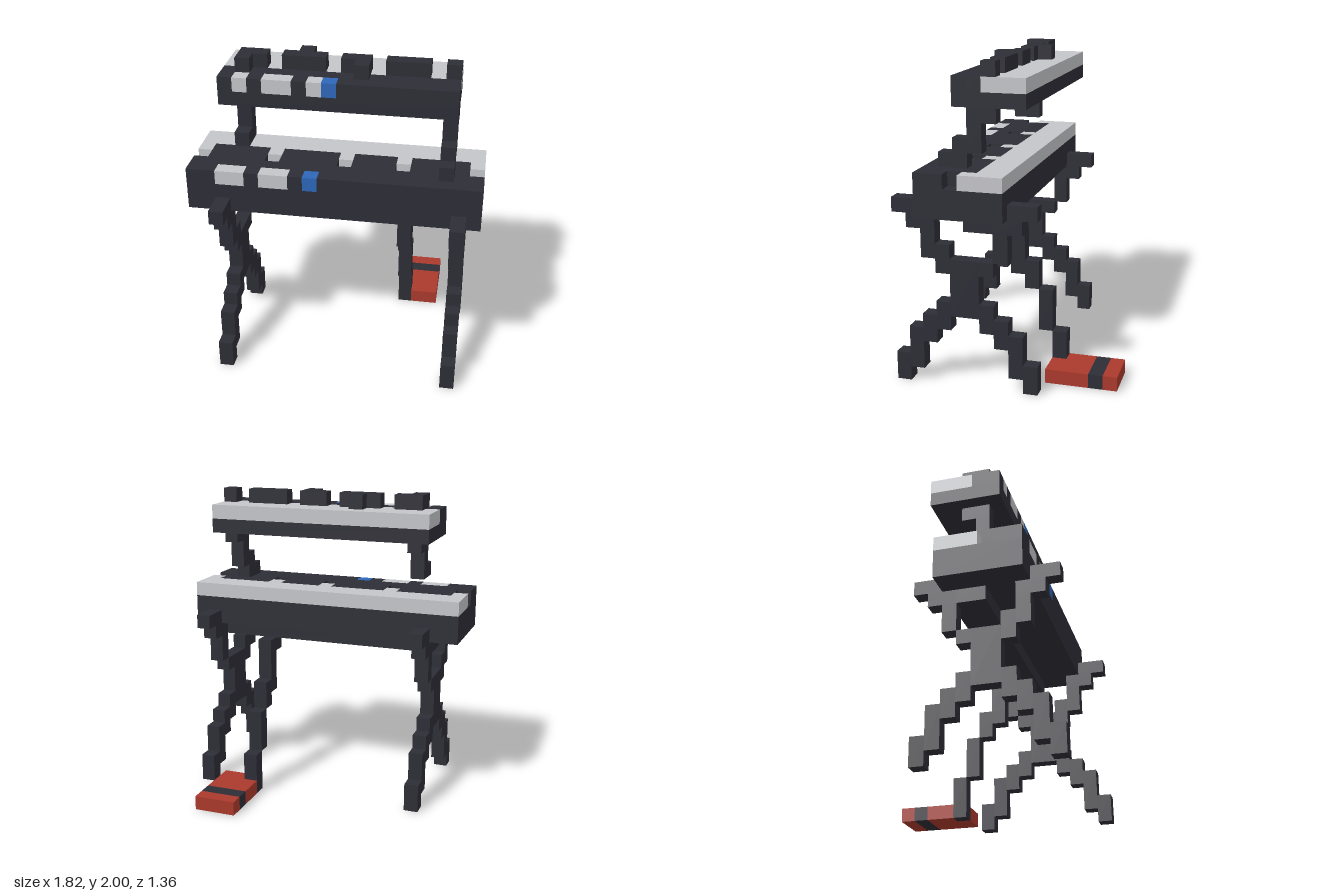
import * as THREE from 'three';

const U = 1 / 11; // one block
const mat = (name, color) => {
  const m = new THREE.MeshStandardMaterial({ color });
  m.name = name;
  return m;
};

export function createModel() {
  const dark = mat('charcoal', 0x2d2d36);
  const white = mat('light grey', 0xc4c5c9);
  const red = mat('red', 0xaa392c);
  const blue = mat('blue', 0x2d67b9);
  const model = new THREE.Group();

  const group = (name) => {
    const g = new THREE.Group();
    g.name = name;
    model.add(g);
    return g;
  };
  // Box given by its start and end in whole blocks (x 0..20, y 0..22, z 0..15)
  const box = (parent, name, m, [x0, x1], [y0, y1], [z0, z1]) => {
    const mesh = new THREE.Mesh(new THREE.BoxGeometry((x1 - x0) * U, (y1 - y0) * U, (z1 - z0) * U), m);
    mesh.position.set(((x0 + x1) / 2 - 10) * U, ((y0 + y1) / 2) * U, ((z0 + z1) / 2 - 7.5) * U);
    mesh.name = name;
    parent.add(mesh);
  };
  // Row along x: each [material, end] runs on from the previous end; null leaves a gap
  const row = (parent, name, start, parts, y, z) => {
    let x = start;
    for (const [m, end] of parts) {
      if (m) box(parent, name, m, [x, end], y, z);
      x = end;
    }
  };

  // Lower keyboard
  const lower = group('lowerKeyboard');
  box(lower, 'lowerBody', dark, [0, 20], [12, 14], [7, 13]);
  box(lower, 'whiteKeys', white, [0, 20], [14, 15], [7, 9]);
  row(lower, 'keyRow', 0, [[white, 1], [dark, 5], [white, 6], [dark, 10], [white, 11],
    [dark, 14], [white, 15], [dark, 19], [white, 20]], [14, 15], [9, 10]);
  row(lower, 'keyGapRow', 0, [[null, 1], [dark, 5], [null, 6], [dark, 10], [null, 11],
    [dark, 14], [null, 15], [dark, 19]], [14, 15], [10, 11]);
  box(lower, 'topPanel', dark, [0, 20], [14, 15], [11, 12]);
  row(lower, 'controlPanel', 0, [[dark, 2], [white, 4], [dark, 5], [white, 7], [dark, 8],
    [blue, 9], [dark, 20]], [14, 15], [12, 13]);

  // Upper keyboard
  const upper = group('upperKeyboard');
  box(upper, 'upperBody', dark, [2, 18], [19, 20], [6, 11]);
  box(upper, 'whiteKeys', white, [2, 18], [20, 21], [6, 9]);
  box(upper, 'topPanel', dark, [2, 18], [20, 21], [9, 10]);
  row(upper, 'controlPanel', 2, [[dark, 3], [white, 4], [dark, 5], [white, 7], [dark, 8],
    [white, 9], [blue, 10], [dark, 18]], [20, 21], [10, 11]);
  for (const x of [[3, 5], [6, 9], [10, 12], [13, 16], [17, 18]]) box(upper, 'blackKeys', dark, x, [21, 22], [8, 9]);
  for (const [x, z] of [[3, 9], [7, 7], [11, 9]]) box(upper, 'blackKeyTip', dark, [x, x + 1], [21, 22], [z, z + 1]);

  // Arms carrying the upper keyboard
  const arms = group('upperArms');
  for (const x of [3, 17]) {
    box(arms, 'armTop', dark, [x, x + 1], [18, 19], [8, 10]);
    box(arms, 'armPost', dark, [x, x + 1], [16, 18], [9, 10]);
    box(arms, 'armElbow', dark, [x, x + 1], [16, 17], [10, 11]);
  }
  box(arms, 'armFoot', dark, [17, 18], [15, 16], [10, 12]);

  // Crossed legs: stepped [y0, y1, z0, z1], mirrored front to back about z = 10
  const steps = [[12, 13, 13, 15], [11, 12, 12, 14], [9, 11, 12, 13], [8, 10, 11, 12],
    [4, 6, 11, 12], [3, 5, 12, 13], [1, 4, 13, 14], [0, 2, 14, 15]];
  const legs = group('crossedLegs');
  for (const x of [2, 18]) {
    box(legs, 'legCrossing', dark, [x, x + 1], [5, 9], [9, 11]);
    for (const [y0, y1, z0, z1] of steps) {
      box(legs, 'frontLegStep', dark, [x, x + 1], [y0, y1], [z0, z1]);
      // the rear upper arm leaves an open corner beside the crossing
      const top = y0 === 8 ? 9 : y1;
      box(legs, 'rearLegStep', dark, [x, x + 1], [y0, top], [20 - z1, 20 - z0]);
    }
  }
  box(legs, 'crossRail', dark, [2, 19], [11, 12], [8, 10]);

  // Pedal and its stepped pole
  const pedal = group('pedal');
  for (const [y0, y1, z0, z1] of [[10, 11, 8, 9], [8, 11, 7, 8], [7, 8, 6, 8], [6, 8, 6, 7], [3, 6, 5, 6], [0, 3, 4, 5]]) {
    box(pedal, 'pedalPole', dark, [14, 15], [y0, y1], [z0, z1]);
  }
  box(pedal, 'pedalHeel', red, [15, 17], [0, 1], [4, 5]);
  box(pedal, 'pedalPlate', red, [14, 17], [0, 1], [2, 4]);
  box(pedal, 'pedalBand', dark, [14, 17], [0, 1], [1, 2]);
  box(pedal, 'pedalToe', red, [14, 17], [0, 1], [0, 1]);

  return model;
}
